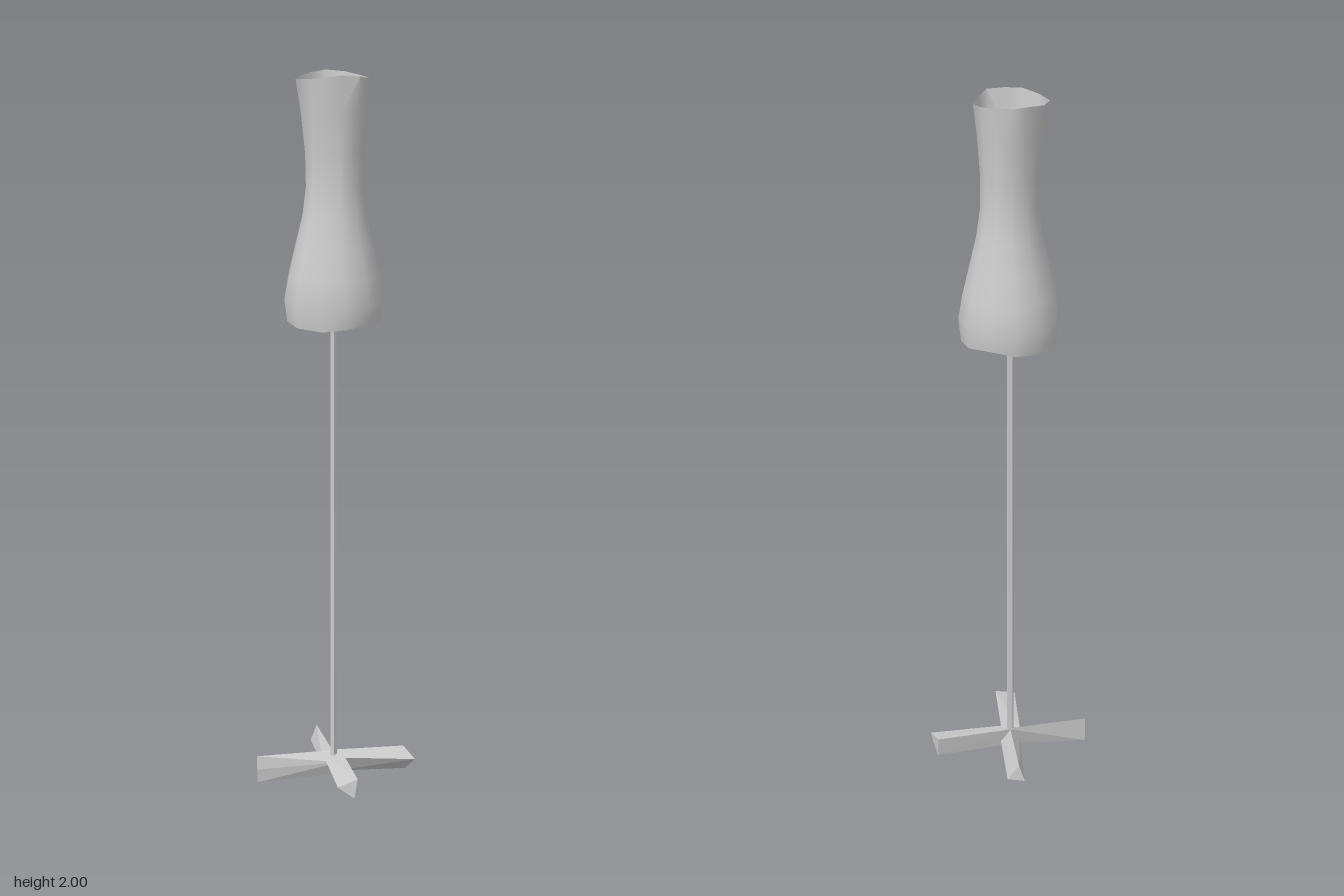
import * as THREE from 'three';
import { ConvexGeometry } from 'three/addons/geometries/ConvexGeometry.js';
import { toCreasedNormals } from 'three/addons/utils/BufferGeometryUtils.js';

const SIDES = 12;
// Rim radii every 30 degrees, from +x towards +z
const LOWER = [0.136, 0.134, 0.13, 0.133, 0.13, 0.146, 0.14, 0.143, 0.14, 0.144, 0.136, 0.14];
const UPPER = [0.093, 0.087, 0.096, 0.08, 0.092, 0.097, 0.107, 0.098, 0.091, 0.104, 0.092, 0.09];
// Shade rows from top to bottom: height, mean radius, share of the lower outline
const ROWS = [
  [2.0, 0.094, 0], [1.9, 0.084, 0.2], [1.79, 0.076, 0.5], [1.7, 0.077, 0.8], [1.62, 0.088, 1],
  [1.54, 0.107, 1], [1.46, 0.126, 1], [1.39, 0.138, 1], [1.33, 0.131, 1],
];

function shadeGeometry() {
  const geo = new THREE.CylinderGeometry(1, 1, 1, SIDES, ROWS.length - 1, true);
  const pos = geo.attributes.position;
  for (let i = 0; i < pos.count; i++) {
    const row = Math.floor(i / (SIDES + 1));
    const col = (i % (SIDES + 1)) % SIDES;
    const [y, mean, low] = ROWS[row];
    const k = (3 - col + SIDES) % SIDES;
    const r = mean * THREE.MathUtils.lerp(UPPER[k] / 0.094, LOWER[k] / 0.138, low);
    const a = (col / SIDES) * Math.PI * 2;
    // Slightly wavy rims
    const wave = row === 0 ? -0.007 + 0.007 * Math.cos(2 * a)
      : row === ROWS.length - 1 ? 0.007 * Math.sin(3 * a) : 0;
    pos.setXYZ(i, r * Math.sin(a), y + wave, r * Math.cos(a));
  }
  return toCreasedNormals(geo, 1);
}

// Triangular wedge arms: three inner corners, then three tip corners
const ARMS = {
  leftArm: [[-0.01, 0.08, -0.018], [0, 0.07, 0.02], [0, 0.02, -0.005],
    [0.21, 0.068, -0.028], [0.227, 0.05, 0.037], [0.212, 0.004, -0.015]],
  rightArm: [[0.01, 0.08, -0.014], [0.01, 0.055, 0.02], [0.01, 0.015, 0.005],
    [-0.227, 0.088, 0], [-0.227, 0.05, 0.006], [-0.227, 0.01, 0.003]],
  frontArm: [[-0.033, 0.07, 0], [0.022, 0.075, 0], [0, 0.025, 0],
    [-0.043, 0.06, 0.208], [0.016, 0.075, 0.2], [0.003, 0.025, 0.214]],
  backArm: [[-0.034, 0.035, 0.01], [0.024, 0.035, 0.01], [-0.003, 0.078, 0.01],
    [-0.02, 0.034, -0.217], [0.028, 0.034, -0.203], [-0.004, 0.083, -0.211]],
};

export function createModel() {
  const group = new THREE.Group();
  const solid = new THREE.MeshStandardMaterial({ color: 0xcccccc, flatShading: true });
  const open = new THREE.MeshStandardMaterial({ color: 0xcccccc, side: THREE.DoubleSide });
  const add = (name, geo, mat) => {
    const mesh = new THREE.Mesh(geo, mat);
    mesh.name = name;
    group.add(mesh);
    return mesh;
  };

  // Open flared shade
  add('shade', shadeGeometry(), open);

  // Slim pole from the foot into the shade
  const pole = add('pole', new THREE.CylinderGeometry(0.009, 0.01, 1.35, 5), solid);
  pole.position.set(-0.004, 0.745, -0.002);

  // Crossed foot
  const foot = new THREE.Group();
  foot.name = 'foot';
  for (const [name, corners] of Object.entries(ARMS)) {
    const arm = new THREE.Mesh(new ConvexGeometry(corners.map((c) => new THREE.Vector3(...c))), solid);
    arm.name = name;
    foot.add(arm);
  }
  group.add(foot);
  return group;
}
